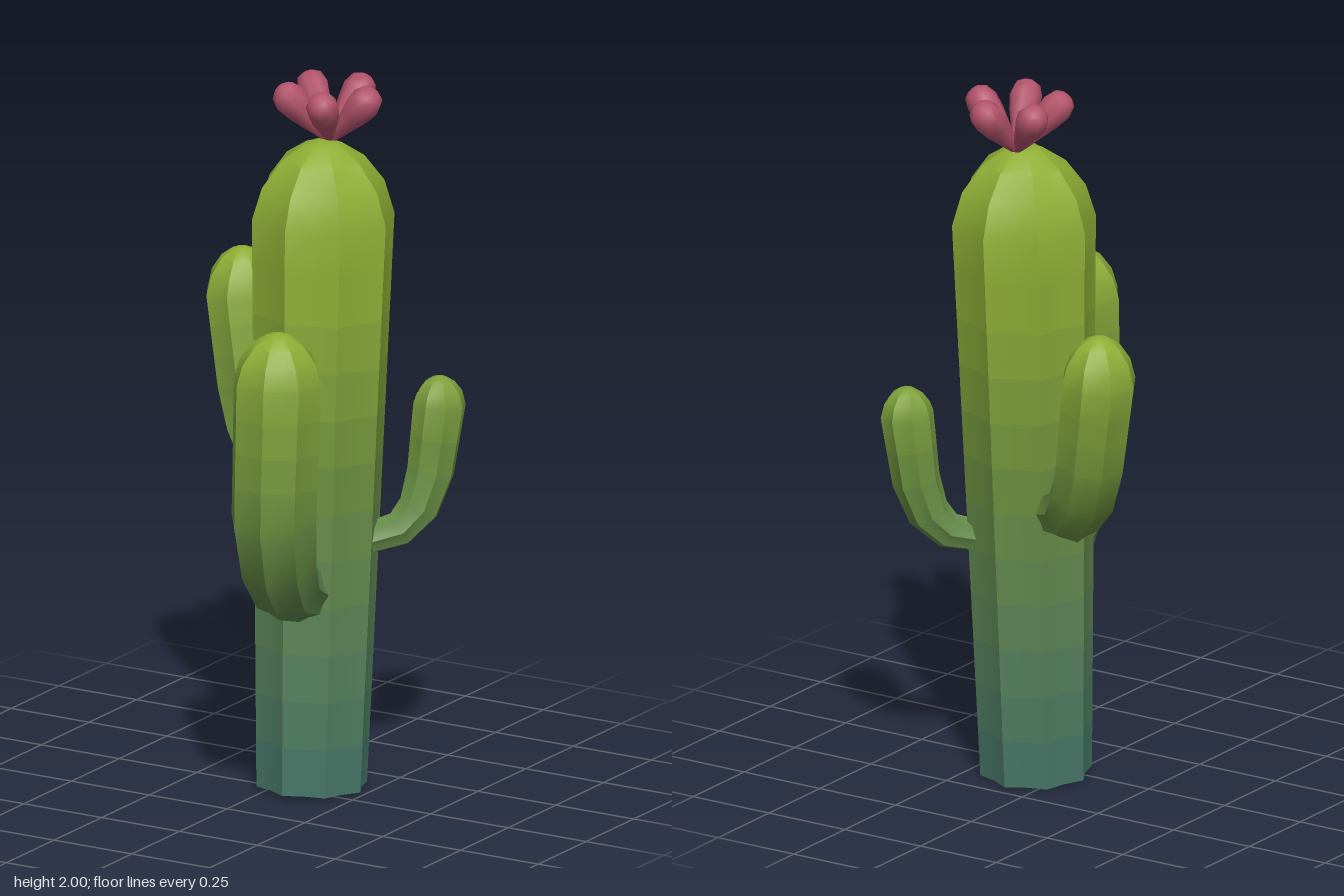
import * as THREE from 'three';
import { toCreasedNormals } from 'three/addons/utils/BufferGeometryUtils.js';

const UP = new THREE.Vector3(0, 1, 0);
const TEAL = new THREE.Color(0x44766a);
const MID = new THREE.Color(0x6d933f);
const LIME = new THREE.Color(0x8fae35);

// Plant colour by height: teal at the ground, lime at the tips
function plantColor(y) {
  const c = new THREE.Color();
  return y < 0.9
    ? c.lerpColors(TEAL, MID, y / 0.9)
    : c.lerpColors(MID, LIME, Math.min((y - 0.9) / 0.5, 1));
}

// Loft through rings [x, y, z, radius]; valley < 1 pulls in every second vertex
// to form ribs. Each band of the loft is its own material group.
function loft(rings, sides, valley, turn, crease) {
  const pos = [], index = [];
  const pts = rings.map(([x, y, z]) => new THREE.Vector3(x, y, z));
  const geo = new THREE.BufferGeometry();
  rings.forEach((ring, i) => {
    const tangent = pts[Math.min(i + 1, pts.length - 1)].clone()
      .sub(pts[Math.max(i - 1, 0)]).normalize();
    const q = new THREE.Quaternion().setFromUnitVectors(UP, tangent);
    for (let j = 0; j < sides; j++) {
      const a = turn + (j / sides) * Math.PI * 2;
      const r = ring[3] * (j % 2 ? valley : 1);
      const v = new THREE.Vector3(Math.cos(a) * r, 0, Math.sin(a) * r)
        .applyQuaternion(q).add(pts[i]);
      pos.push(v.x, v.y, v.z);
    }
  });
  for (let i = 0; i < rings.length - 1; i++) {
    geo.addGroup(index.length, sides * 6, i);
    for (let j = 0; j < sides; j++) {
      const a = i * sides + j, b = i * sides + (j + 1) % sides;
      index.push(a, a + sides, b, b, a + sides, b + sides);
    }
  }
  geo.setAttribute('position', new THREE.Float32BufferAttribute(pos, 3));
  geo.setIndex(index);
  return toCreasedNormals(geo, crease);
}

// Rounded tip continuing from the last ring up to the given height
function withDome(rings, top) {
  const [x, y, z, r] = rings[rings.length - 1];
  const dome = [[0.42, 0.86], [0.76, 0.58], [0.95, 0.26], [1, 0]]
    .map(([h, s]) => [x, y + (top - y) * h, z, r * s]);
  return [...rings, ...dome];
}

// Eight-ribbed stem coloured band by band
function stem(name, rings, top, turn = 0) {
  const all = withDome(rings, top);
  const materials = all.slice(1).map((r, i) => new THREE.MeshStandardMaterial({
    color: plantColor((r[1] + all[i][1]) / 2), side: THREE.DoubleSide,
  }));
  const mesh = new THREE.Mesh(loft(all, 16, 0.88, turn, 0.7), materials);
  mesh.name = name;
  return mesh;
}

// Insert evenly spaced rings in the straight stretch between two rings
function between(a, b, n) {
  return Array.from({ length: n + 1 }, (_, i) => a.map((v, k) => v + (b[k] - v) * i / n));
}

export function createModel() {
  const group = new THREE.Group();
  group.name = 'cactus';

  // Trunk, leaning slightly back and widening upwards, open underneath
  group.add(stem('trunk',
    between([0.085, 0, -0.055, 0.156], [0.085, 1.61, -0.115, 0.201], 12), 1.83));

  // Front arm
  group.add(stem('frontArm', [
    [0.125, 0.58, 0.06, 0.078],
    [0.145, 0.635, 0.18, 0.098],
    [0.17, 0.73, 0.262, 0.112],
    ...between([0.187, 0.87, 0.31, 0.122], [0.192, 1.26, 0.297, 0.127], 4),
  ], 1.4, -0.23));

  // Arm at the back on the right-hand side
  group.add(stem('backRightArm', [
    [-0.07, 0.81, -0.18, 0.065],
    [-0.16, 0.845, -0.238, 0.084],
    [-0.222, 0.92, -0.28, 0.094],
    ...between([-0.26, 1.03, -0.303, 0.1], [-0.304, 1.28, -0.326, 0.106], 3),
  ], 1.41, -0.14));

  // Small arm at the back on the left-hand side
  group.add(stem('backLeftArm', [
    [0.19, 0.69, -0.165, 0.044],
    [0.257, 0.713, -0.232, 0.051],
    [0.295, 0.77, -0.273, 0.059],
    ...between([0.315, 0.87, -0.303, 0.067], [0.332, 1.06, -0.322, 0.074], 2),
  ], 1.14));

  // Flower of five club-shaped petals
  const flower = new THREE.Group();
  flower.name = 'flower';
  flower.position.set(0.087, 1.82, -0.147);
  const petalRings = [[0, 0.01], [0.12, 0.04], [0.165, 0.046], [0.197, 0.036], [0.209, 0.018], [0.212, 0]]
    .map(([t, r]) => [0, t, 0, r]);
  const petalGeo = loft(petalRings, 8, 1, 0, 1.2);
  petalGeo.clearGroups();
  petalGeo.rotateZ(-0.73);
  const pink = new THREE.MeshStandardMaterial({ color: 0xb3536b });
  for (let i = 0; i < 5; i++) {
    const petal = new THREE.Mesh(petalGeo, pink);
    petal.name = 'petal';
    petal.rotation.y = 0.05 + (i / 5) * Math.PI * 2;
    flower.add(petal);
  }
  group.add(flower);

  return group;
}
